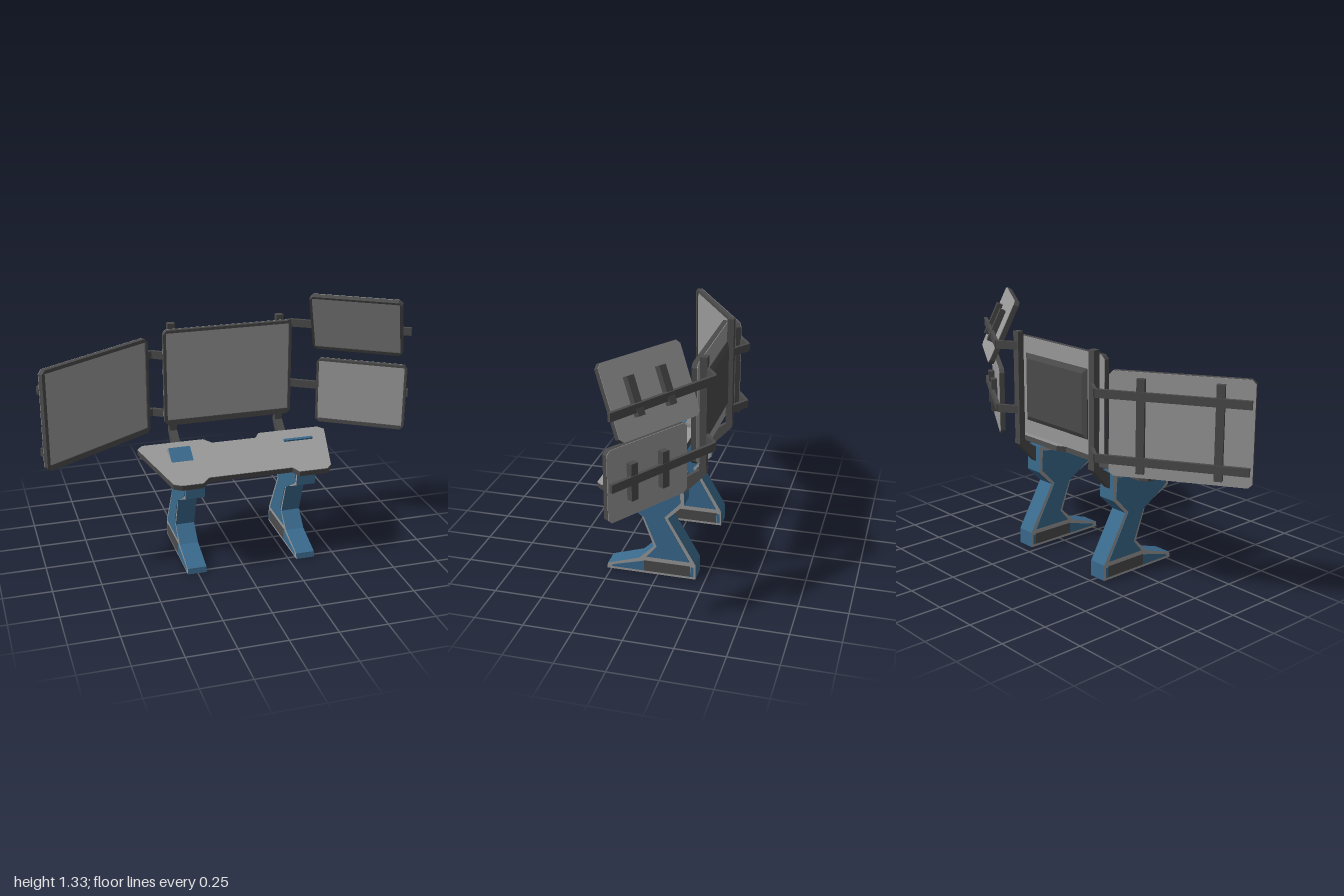
import * as THREE from 'three';

const mat = (name, color, side = THREE.FrontSide) => {
  const m = new THREE.MeshStandardMaterial({ color, side });
  m.name = name;
  return m;
};

export function createModel() {
  const root = new THREE.Group();
  root.name = 'workstation';
  const gray = mat('light gray', 0x989898);
  const dark = mat('dark gray', 0x4a4a4a);
  const blue = mat('blue', 0x3a6a8d);

  const add = (parent, name, geo, material, x = 0, y = 0, z = 0) => {
    const m = new THREE.Mesh(geo, material);
    m.name = name;
    m.position.set(x, y, z);
    parent.add(m);
    return m;
  };
  const group = (name, x = 0, y = 0, z = 0) => {
    const g = new THREE.Group();
    g.name = name;
    g.position.set(x, y, z);
    root.add(g);
    return g;
  };
  const shapeOf = pts => new THREE.Shape(pts.map(p => new THREE.Vector2(p[0], p[1])));
  const extrude = (shape, depth) => new THREE.ExtrudeGeometry(shape, { depth, bevelEnabled: false });
  const box = (w, h, d) => new THREE.BoxGeometry(w, h, d);
  // Profile given as [z, y], extruded along x and centred on x = 0
  const sideways = (pts, width) =>
    extrude(shapeOf(pts), width).translate(0, 0, -width / 2).rotateY(-Math.PI / 2);
  // Plan given as [x, z], extruded upward from y = 0
  const plan = (pts, height) =>
    extrude(shapeOf(pts.map(([x, z]) => [x, -z])), height).rotateX(-Math.PI / 2);

  // Legs
  const legOutline = [[0.275, 0], [0.27, 0.03], [0.10, 0.085], [0.02, 0.165], [0.085, 0.34],
    [0.25, 0.42], [0.25, 0.495], [-0.135, 0.565], [-0.14, 0.42], [-0.055, 0.335],
    [-0.20, 0.085], [-0.20, 0]];
  const legPanel = [[0.06, 0.098], [0.004, 0.165], [0.07, 0.328], [0.205, 0.41], [0.234, 0.435],
    [0.234, 0.483], [-0.115, 0.541], [-0.121, 0.43], [-0.036, 0.338], [-0.17, 0.098]];
  const toePanel = [[0.25, 0.014], [0.24, 0.026], [0.072, 0.072], [0.072, 0.014]];
  const solePanel = [[0.072, 0.014], [0.072, 0.074], [-0.172, 0.074], [-0.172, 0.014]];
  const heelPanel = [[-0.174, 0.014], [-0.174, 0.07], [-0.19, 0.07], [-0.19, 0.014]];
  // Brace from the back of the leg to the upright
  const brace = [[-0.13, 0.47], [-0.13, 0.555], [-0.222, 0.62], [-0.245, 0.62], [-0.245, 0.595]];
  for (const x of [-0.253, 0.34]) {
    const leg = group('leg', x);
    add(leg, 'legBody', sideways(legOutline, 0.1), [gray, blue]);
    for (const [name, pts, m] of [['legPanel', legPanel, blue], ['toePanel', toePanel, blue],
      ['solePanel', solePanel, dark], ['heelPanel', heelPanel, blue]]) {
      for (const s of [-1, 1]) add(leg, name, sideways(pts, 0.004), m, s * 0.051);
    }
    add(leg, 'brace', sideways(brace, 0.042), dark);
    add(leg, 'upright', box(0.04, 0.6, 0.035), dark, 0, 0.905, -0.226);
  }

  // Sloping desk
  const deskPlan = [[-0.45, -0.2], [-0.48, -0.17], [-0.37, 0.18], [-0.33, 0.2], [-0.22, 0.2],
    [-0.18, 0.157], [0.265, 0.157], [0.29, 0.2], [0.44, 0.2], [0.47, 0.17], [0.555, -0.17],
    [0.525, -0.2], [0.19, -0.2], [0.16, -0.157], [-0.08, -0.157], [-0.12, -0.2]];
  const desk = group('desk', 0, 0.555, 0.1);
  desk.rotation.x = 0.17;
  add(desk, 'deskSlab', plan(deskPlan, 0.028), dark, 0, -0.031);
  add(desk, 'deskTop', plan(deskPlan, 0.003), gray, 0, -0.003);

  // Wedge-shaped console with a blue front face
  const con = group('console', -0.275);
  add(con, 'consoleBody', sideways([[0.09, 0.553], [0.01, 0.603], [-0.04, 0.58], [-0.04, 0.56]], 0.115), gray);
  add(con, 'consoleFace', sideways([[0.092, 0.554], [0.01, 0.606], [0.01, 0.602], [0.09, 0.55]], 0.115), blue);

  // Slim strip on the other side of the desk
  add(desk, 'deskStrip', box(0.16, 0.009, 0.018), blue, 0.38, 0.0035, -0.094);
  add(desk, 'deskStripBack', box(0.16, 0.009, 0.012), gray, 0.38, 0.0035, -0.109);

  // Monitors: dark bezel with clipped corners, recessed screen, pale back
  const octagon = (w, h, c) => [[-w + c, -h], [w - c, -h], [w, -h + c], [w, h - c],
    [w - c, h], [-w + c, h], [-w, h - c], [-w, -h + c]];
  const monitor = (name, w, h, rim, chin, pos) => {
    const g = group(name, ...pos);
    const outer = octagon(w / 2, h / 2, 0.02);
    const frame = shapeOf(outer);
    const l = w / 2 - rim, t = h / 2 - rim, b = -h / 2 + chin;
    frame.holes.push(new THREE.Path([[-l, b], [-l, t], [l, t], [l, b]].map(p => new THREE.Vector2(...p))));
    add(g, 'bezel', extrude(frame, 0.027), dark, 0, 0, -0.012);
    add(g, 'screen', box(l * 2, t - b, 0.008), gray, 0, (t + b) / 2, 0.004);
    add(g, 'backPlate', extrude(shapeOf(outer), 0.003), gray, 0, 0, -0.015);
    return g;
  };
  const rails = (g, xs, length, depth) => {
    for (const x of xs) add(g, 'mountRail', box(0.04, length, depth), dark, x, 0, -0.015 - depth / 2);
  };

  // Centre monitor with a bevelled housing behind it
  const centre = monitor('centreMonitor', 0.7, 0.525, 0.015, 0.03, [0.045, 0.917, -0.19]);
  const housing = new THREE.ExtrudeGeometry(shapeOf([[-0.215, -0.155], [0.215, -0.155], [0.215, 0.155], [-0.215, 0.155]]),
    { depth: 0.004, bevelThickness: 0.014, bevelSize: 0.025, bevelSegments: 1 });
  add(centre, 'rearHousing', housing, dark, 0, 0, -0.029);

  // Large monitor on the right
  const large = monitor('rightMonitor', 0.7, 0.525, 0.018, 0.03, [-0.68, 0.87, -0.055]);
  large.rotation.y = 0.555;
  rails(large, [-0.19, 0.19], 0.47, 0.025);

  // Two small monitors on the left, the upper one leaning forward
  for (const [name, pos, tilt] of [['lowerLeftMonitor', [0.755, 0.773, -0.055], 0],
    ['upperLeftMonitor', [0.718, 1.16, -0.06], 0.426]]) {
    const g = monitor(name, 0.487, 0.363, 0.012, 0.02, pos);
    g.rotation.set(tilt, -0.56, 0, 'YXZ');
    rails(g, [-0.08, 0.11], 0.185, 0.032);
  }

  // Bent support arms running from the uprights behind the side monitors
  const bar = (g, [x1, z1], [x2, z2], y) => {
    const m = add(g, 'armSegment', box(Math.hypot(x2 - x1, z2 - z1), 0.042, 0.018), dark,
      (x1 + x2) / 2, y, (z1 + z2) / 2);
    m.rotation.y = -Math.atan2(z2 - z1, x2 - x1);
  };
  const arm = (path, y) => {
    const g = group('supportArm');
    for (let i = 1; i < path.length; i++) bar(g, path[i - 1], path[i], y);
  };
  for (const y of [1.02, 0.695]) arm([[-0.25, -0.235], [-0.345, -0.3], [-0.99, 0.09]], y);
  for (const y of [1.13, 0.785]) arm([[0.335, -0.235], [0.43, -0.3], [0.99, 0.04]], y);

  return root;
}
